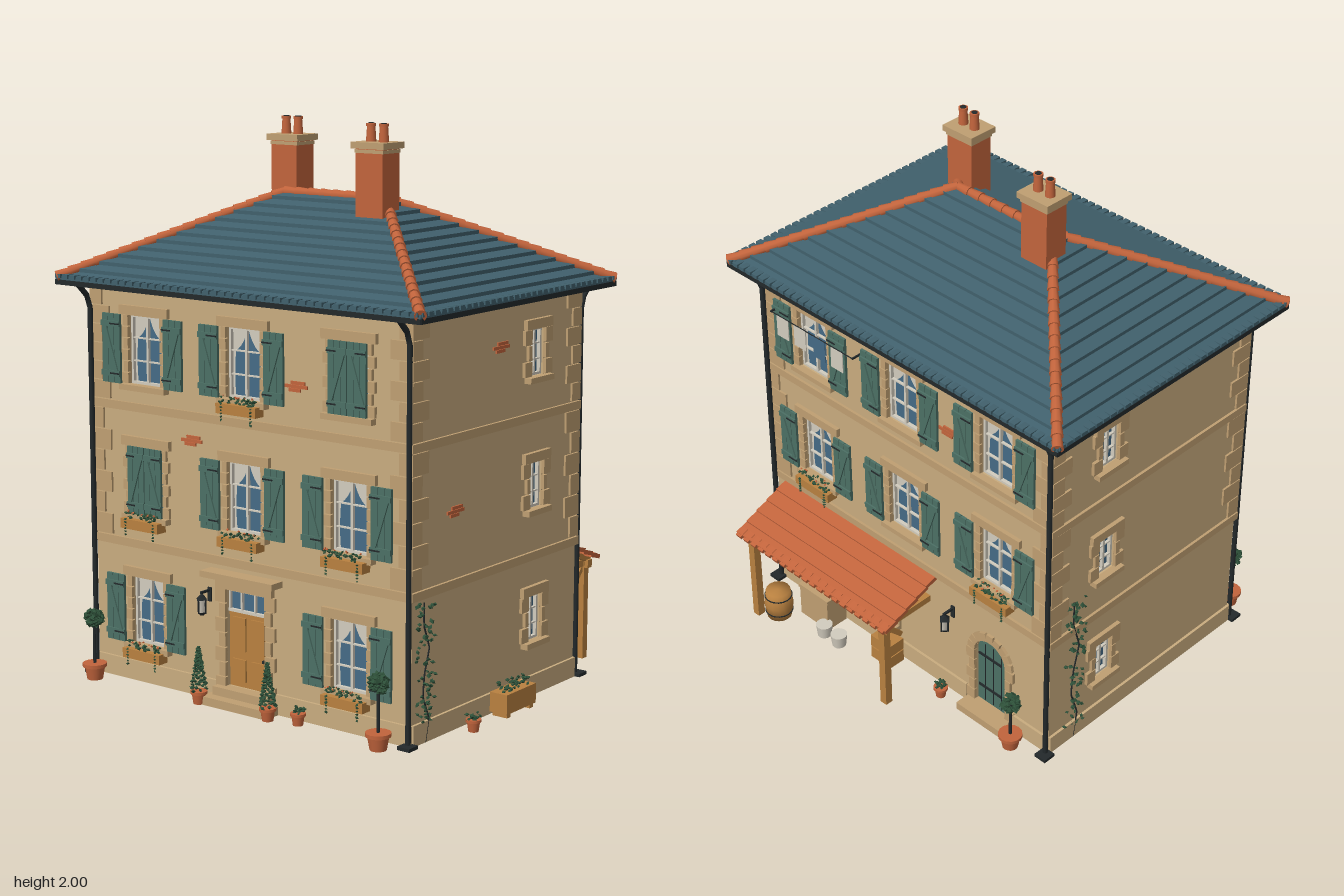
import * as THREE from 'three';
import { mergeGeometries } from 'three/addons/utils/BufferGeometryUtils.js';

const mat = (name, color, extra = {}) => Object.assign(new THREE.MeshStandardMaterial({ color, ...extra }), { name });
const M = {
  wall: mat('plaster', 0xc9ac7f), stone: mat('stone', 0xbf9f72), slate: mat('slate', 0x41616d),
  clay: mat('terracotta', 0xc2643c), green: mat('shutterGreen', 0x4c7065), wood: mat('wood', 0xb98140),
  iron: mat('iron', 0x23292b), glass: mat('glass', 0x456b86), cream: mat('cream', 0xd2ccbe), leaf: mat('foliage', 0x2d4f38),
};
M.cream.side = M.slate.side = THREE.DoubleSide;
let seed = 7;
const rnd = (a = 0, b = 1) => { seed = (seed * 16807) % 2147483647; return a + (b - a) * seed / 2147483647; };
const V = (x, y, z) => new THREE.Vector3(x, y, z);

function add(parent, name, geo, m, x = 0, y = 0, z = 0) {
  const o = new THREE.Mesh(geo, m);
  o.name = name; o.position.set(x, y, z); parent.add(o);
  return o;
}
const box = (p, name, m, w, h, d, x, y, z) => add(p, name, new THREE.BoxGeometry(w, h, d), m, x, y, z);
const cyl = (p, name, m, r1, r0, h, x, y, z, n = 14) => add(p, name, new THREE.CylinderGeometry(r1, r0, h, n), m, x, y + h / 2, z);
const tube = (p, name, m, pts, r) => add(p, name, new THREE.TubeGeometry(new THREE.CatmullRomCurve3(pts, false, 'catmullrom', 0.1), 24, r, 6), m);
function group(parent, name, x = 0, y = 0, z = 0, ry = 0) {
  const g = new THREE.Group();
  g.name = name; g.position.set(x, y, z); g.rotation.y = ry; parent.add(g);
  return g;
}
// Many small leaves merged in one mesh
function leaves(p, name, pts, s, m = M.leaf) {
  add(p, name, mergeGeometries(pts.map(v => new THREE.OctahedronGeometry(s * rnd(0.7, 1.2)).scale(1, 0.6, 0.8)
    .rotateZ(rnd(-1, 1)).rotateY(rnd(0, 6)).translate(v.x, v.y, v.z))), m);
}
const many = (n, f) => Array.from({ length: n }, (_, i) => f(i));
function rectPath(u0, u1, y0, y1, arch = false) {
  const s = new THREE.Shape();
  s.moveTo(u0, y0); s.lineTo(u1, y0); s.lineTo(u1, y1);
  if (arch) s.absarc((u0 + u1) / 2, y1, (u1 - u0) / 2, 0, Math.PI, false); else s.lineTo(u0, y1);
  s.closePath();
  return s;
}
const extrude = (s, depth) => new THREE.ExtrudeGeometry(s, { depth, bevelEnabled: false, curveSegments: 10 });

// Jamb blocks of alternating width beside an opening
function jambs(p, w, y0, h, n, a, b) {
  for (const s of [-1, 1]) for (let i = 0; i < n; i++) {
    const bw = i % 2 ? a : b;
    box(p, 'jambBlock', M.stone, bw, h / n - 0.004, 0.014, s * (w / 2 + bw / 2), y0 + h * (i + 0.5) / n, 0.005);
  }
}
function shutter(p, x, y, w, h, z, dir) {
  const g = group(p, 'shutter', x, y, z);
  for (let i = -1; i <= 1; i++) box(g, 'shutterPlank', M.green, w / 3 - 0.002, h, 0.01, i * w / 3, 0, 0);
  for (const s of [-1, 1]) {
    box(g, 'shutterRail', M.green, w, 0.02, 0.008, 0, s * h * 0.36, 0.007);
    box(g, 'hingeStrap', M.iron, w * 0.5, 0.005, 0.004, dir * w * 0.25, s * h * 0.36, 0.012);
  }
  box(g, 'shutterBrace', M.green, 0.015, h * 0.74, 0.008, 0, 0, 0.007).rotation.z = dir * 0.32;
}
function flowerBox(p, y) {
  const g = group(p, 'flowerBox', 0, y, 0.03);
  box(g, 'trough', M.wood, 0.175, 0.035, 0.045, 0, -0.018, 0);
  leaves(g, 'boxPlants', many(36, () => V(rnd(-0.08, 0.08), rnd(0, 0.022), rnd(-0.015, 0.02))), 0.009);
  leaves(g, 'trailingPlants', many(12, i => V(i % 2 ? 0.07 : -0.06, -i * 0.0055, 0.026)), 0.007);
  leaves(g, 'flowers', many(7, () => V(rnd(-0.08, 0.08), 0.024, rnd(-0.01, 0.02))), 0.006, M.clay);
}
function windowUnit(p, u, y0, { w = 0.15, h = 0.245, shutters = 'open', planter = false } = {}) {
  const g = group(p, 'window', u, y0, 0), m = h / 2;
  box(g, 'glass', M.glass, w, h, 0.006, 0, m, -0.024);
  if (w > 0.1) for (const s of [-1, 1]) { // drapes with a curved inner edge
    const c = new THREE.Shape();
    c.moveTo(s * w / 2, 0); c.lineTo(s * w / 2, h); c.lineTo(0, h);
    c.quadraticCurveTo(s * w * 0.12, h * 0.74, s * w * 0.36, h * 0.66);
    c.quadraticCurveTo(s * w * 0.42, h * 0.3, s * w * 0.36, 0);
    add(g, 'curtain', new THREE.ShapeGeometry(c, 6), M.cream, 0, 0, -0.0195);
  }
  for (const s of [-1, 1]) {
    box(g, 'frameSide', M.cream, 0.009, h, 0.014, s * (w / 2 - 0.0045), m, -0.014);
    box(g, 'frameRail', M.cream, w, 0.009, 0.014, 0, m + s * (m - 0.0045), -0.014);
  }
  box(g, 'mullion', M.cream, 0.009, h, 0.012, 0, m, -0.013);
  for (const t of [1 / 3, 2 / 3]) box(g, 'glazingBar', M.cream, w, 0.005, 0.01, 0, h * t, -0.014);
  const small = w < 0.1;
  jambs(g, w, 0, h, small ? 3 : 6, 0.02, small ? 0.042 : 0.032);
  box(g, 'lintel', M.stone, w + 0.075, 0.034, 0.018, 0, h + 0.017, 0.007);
  box(g, 'sill', M.stone, w + 0.06, 0.02, 0.032, 0, -0.01, 0.012);
  if (shutters === 'open') for (const s of [-1, 1]) shutter(g, s * 0.143, m, 0.085, h, 0.02, -s);
  if (shutters === 'closed') for (const s of [-1, 1]) shutter(g, s * 0.04, m, 0.078, h, 0.016, s);
  if (planter) flowerBox(g, -0.012);
}
function wall(parent, name, u0, u1, holes, x, z, ry) {
  const g = group(parent, name, x, 0, z, ry), s = rectPath(u0, u1, 0, 1.42);
  for (const h of holes) s.holes.push(rectPath(...h));
  add(g, 'wallPanel', extrude(s, 0.03), M.wall, 0, 0, -0.03);
  for (const y of [0.505, 0.998]) box(g, 'stringCourse', M.stone, u1 - u0 + 0.02, 0.03, 0.02, (u0 + u1) / 2, y, 0);
  return g;
}
function bricks(p, u, y) {
  [[-0.006, 0.05], [0, 0.095], [0.008, 0.06]].forEach(([du, w], i) =>
    box(p, 'exposedBrick', M.clay, w, 0.011, 0.008, u + du, y + (i - 1) * 0.0125, 0.002));
}
function lantern(p, u, y) {
  const g = group(p, 'lantern', u, y, 0);
  box(g, 'bracket', M.iron, 0.008, 0.008, 0.05, 0, 0.04, 0.025);
  box(g, 'backPlate', M.iron, 0.016, 0.05, 0.006, 0, 0.025, 0.003);
  cyl(g, 'lampHood', M.iron, 0.006, 0.024, 0.018, 0, 0.015, 0.045, 4);
  cyl(g, 'lampGlass', M.cream, 0.018, 0.013, 0.045, 0, -0.03, 0.045, 4);
  cyl(g, 'lampBase', M.iron, 0.016, 0.01, 0.01, 0, -0.04, 0.045, 4);
  for (const a of [0, 1, 2, 3]) box(g, 'lampBar', M.iron, 0.004, 0.05, 0.004, Math.sin(a * Math.PI / 2) * 0.017, -0.008, 0.045 + Math.cos(a * Math.PI / 2) * 0.017);
}
function pot(p, x, z, r, h) {
  const g = group(p, 'pottedPlant', x, 0, z);
  cyl(g, 'pot', M.clay, r * 0.88, r * 0.65, h, 0, 0, 0);
  cyl(g, 'potRim', M.clay, r, r, h * 0.22, 0, h * 0.8, 0);
  return g;
}
function topiary(p, x, z, h) {
  const g = pot(p, x, z, 0.044, 0.058);
  cyl(g, 'trunk', M.iron, 0.005, 0.006, h - 0.1, 0, 0.05, 0, 6);
  leaves(g, 'crown', many(90, () => V(rnd(-1, 1), rnd(-1, 1), rnd(-1, 1)).setLength(0.032 * Math.cbrt(rnd(0.3, 1))).add(V(0, h - 0.045, 0))), 0.014);
}
function coneShrub(p, x, z) {
  const g = pot(p, x, z, 0.03, 0.045);
  leaves(g, 'cone', many(90, i => V(Math.sin(i * 2.4) * 0.028 * (1 - i / 92), 0.05 + i * 0.0017, Math.cos(i * 2.4) * 0.028 * (1 - i / 92))), 0.01);
}
function smallPot(p, x, z) {
  leaves(pot(p, x, z, 0.027, 0.042), 'sprigs', many(16, () => V(rnd(-0.018, 0.018), rnd(0.042, 0.065), rnd(-0.018, 0.018))), 0.01);
}
function vine(p, u, h) {
  const pts = many(7, i => V(u + Math.sin(i * 2) * 0.02, h * i / 6, 0.008));
  tube(p, 'vineStem', M.iron, pts, 0.003);
  leaves(p, 'vineLeaves', many(70, () => V(u + rnd(-0.05, 0.05), rnd(0.06, h), rnd(0.005, 0.016))), 0.011);
}

// Stepped hip roof built from rectangular rings, with clay hip tiles
function roof(root) {
  const g = group(root, 'roof', 0, 0, 0.065), N = 12, loops = [], pos = [];
  const ring = (t, dy) => { const a = 0.795 - 0.575 * t, b = 0.585 * (1 - t), y = 1.437 + 0.3 * t + dy; return [V(-a, y, b), V(a, y, b), V(a, y, -b), V(-a, y, -b)]; };
  for (let i = 0; i < N; i++) loops.push(ring(i / N, 0), ring(i / N, 0.013), ring((i + 1) / N, 0));
  for (let k = 0; k + 1 < loops.length; k++) for (let i = 0; i < 4; i++) {
    const j = (i + 1) % 4, [a, b, c, d] = [loops[k][i], loops[k][j], loops[k + 1][j], loops[k + 1][i]];
    for (const v of [a, b, c, a, c, d]) pos.push(v.x, v.y, v.z);
  }
  const geo = new THREE.BufferGeometry().setAttribute('position', new THREE.Float32BufferAttribute(pos, 3));
  geo.computeVertexNormals();
  add(g, 'slateCourses', geo, M.slate);
  box(g, 'soffit', M.wood, 1.56, 0.014, 1.14, 0, 1.427, 0);
  for (const s of [-1, 1]) {
    box(g, 'gutter', M.iron, 1.59, 0.018, 0.022, 0, 1.428, s * 0.575);
    box(g, 'gutter', M.iron, 0.022, 0.018, 1.16, s * 0.785, 1.428, 0);
    for (let i = 0; i < 46; i++) box(g, 'eaveSlate', M.slate, 0.023, 0.014, 0.045, (i - 22.5) * 0.0345, 1.45, s * 0.57);
    for (let i = 0; i < 34; i++) box(g, 'eaveSlate', M.slate, 0.045, 0.014, 0.023, s * 0.778, 1.45, (i - 16.5) * 0.0345);
  }
  const tiles = (a, b, n) => {
    const d = b.clone().sub(a), L = d.length() / n;
    for (let i = 0; i < n; i++) add(g, 'hipTile', new THREE.CylinderGeometry(0.016, 0.021, L * 1.08, 10), M.clay)
      .position.copy(a).addScaledVector(d, (i + 0.5) / n), g.children.at(-1).quaternion.setFromUnitVectors(V(0, 1, 0), d.clone().normalize());
  };
  for (const x of [-1, 1]) for (const z of [-1, 1]) tiles(V(x * 0.79, 1.447, z * 0.58), V(x * 0.22, 1.737, 0), 18);
  tiles(V(-0.22, 1.735, 0), V(0.22, 1.735, 0), 8);
  // Chimneys
  for (const [x, z] of [[-0.247, -0.07], [0.242, 0.075]]) {
    const c = group(g, 'chimney', x, 0, z);
    box(c, 'chimneyStack', M.clay, 0.115, 0.27, 0.095, 0, 1.78, 0);
    box(c, 'chimneyCollar', M.stone, 0.122, 0.012, 0.1, 0, 1.905, 0);
    box(c, 'chimneyCap', M.stone, 0.14, 0.022, 0.118, 0, 1.925, 0);
    for (const s of [-1, 1]) {
      cyl(c, 'chimneyPot', M.clay, 0.014, 0.018, 0.06, s * 0.027, 1.933, 0);
      cyl(c, 'potLip', M.clay, 0.017, 0.017, 0.01, s * 0.027, 1.988, 0);
      cyl(c, 'flue', M.iron, 0.011, 0.011, 0.002, s * 0.027, 1.998, 0);
    }
  }
}
// Tiled lean-to with posts, washing and storage at the back
function leanTo(root) {
  const g = group(root, 'leanTo'), r = group(g, 'leanToRoof', 0.25, 0.49, -0.43), L = 0.275;
  r.rotation.x = -0.4;
  for (let j = 0; j < 5; j++) box(r, 'tileCourse', M.clay, 0.8, 0.016, L / 5 + 0.006, 0, 0, -(j + 0.5) * L / 5).rotation.x = 0.12;
  for (let i = 0; i < 20; i++) box(r, 'edgeTile', M.clay, 0.026, 0.014, 0.04, (i - 9.5) * 0.04, 0.004, -L + 0.008);
  for (let i = 0; i < 6; i++) box(r, 'rafter', M.wood, 0.018, 0.02, L - 0.02, (i - 2.5) * 0.145, -0.018, -L / 2);
  box(g, 'frontBeam', M.wood, 0.76, 0.03, 0.028, 0.25, 0.362, -0.65);
  for (const x of [-0.1, 0.6]) {
    box(g, 'post', M.wood, 0.03, 0.37, 0.03, x, 0.185, -0.65);
    box(g, 'sideBeam', M.wood, 0.026, 0.026, 0.22, x, 0.365, -0.54);
    box(g, 'brace', M.wood, 0.018, 0.018, 0.11, x, 0.32, -0.61).rotation.x = 0.8;
  }
  tube(g, 'washingLine', M.iron, [V(-0.1, 0.35, -0.56), V(0.25, 0.34, -0.56), V(0.6, 0.35, -0.56)], 0.002);
  [0.02, 0.12, 0.3, 0.42, 0.51].forEach((x, i) => box(g, 'cloth', i % 2 ? M.glass : M.cream, 0.065, 0.075, 0.004, x, 0.305, -0.56));
  const barrel = [[0, 0], [0.047, 0], [0.056, 0.06], [0.047, 0.12], [0, 0.12]].map(p => new THREE.Vector2(...p));
  add(g, 'barrel', new THREE.LatheGeometry(barrel, 16), M.wood, 0.54, 0, -0.6);
  for (const y of [0.025, 0.095]) add(g, 'barrelHoop', new THREE.TorusGeometry(0.051, 0.003, 5, 18).rotateX(Math.PI / 2), M.iron, 0.54, y, -0.6);
  box(g, 'washTub', M.stone, 0.15, 0.13, 0.095, 0.41, 0.065, -0.49);
  box(g, 'tubRim', M.stone, 0.16, 0.015, 0.1, 0.41, 0.135, -0.49);
  for (const x of [0.25, 0.33]) cyl(g, 'basket', M.cream, 0.032, 0.026, 0.05, x, 0, -0.56);
  for (const [x, y] of [[0.06, 0.03], [0.06, 0.085]]) box(g, 'crate', M.wood, 0.1, 0.05, 0.07, x, y, -0.49);
}

export function createModel() {
  const root = new THREE.Group();
  root.name = 'townHouse';
  const rows = [0.14, 0.615, 1.08], cols = [-0.45, 0, 0.45];
  const hole = (u, y, w = 0.15, h = 0.245) => [u - w / 2, u + w / 2, y, y + h];

  // Front wall
  const upper = cols.flatMap(u => rows.slice(1).map(y => hole(u, y)));
  const front = wall(root, 'frontWall', -0.7, 0.7, [...upper, hole(-0.45, 0.14), hole(0.45, 0.14), [-0.088, 0.088, 0.06, 0.41]], 0, 0.56, 0);
  cols.forEach((u, c) => rows.forEach((y, r) => {
    if (r === 0 && c === 1) return;
    const closed = (r === 2 && c === 2) || (r === 1 && c === 0);
    windowUnit(front, u, y, { shutters: closed ? 'closed' : 'open', planter: r < 2 || c === 1 });
  }));
  // Front door
  const door = group(front, 'frontDoor');
  box(door, 'doorLeaf', M.wood, 0.176, 0.27, 0.014, 0, 0.195, -0.02);
  for (const s of [-1, 1]) for (const [y, h] of [[0.12, 0.08], [0.25, 0.12]]) box(door, 'doorPanel', M.wood, 0.058, h, 0.008, s * 0.042, y, -0.011);
  box(door, 'doorKnob', M.iron, 0.01, 0.01, 0.012, 0.07, 0.17, -0.008);
  box(door, 'transomGlass', M.glass, 0.176, 0.075, 0.006, 0, 0.37, -0.022);
  for (const y of [0.332, 0.405]) box(door, 'transomRail', M.cream, 0.176, 0.01, 0.014, 0, y, -0.014);
  for (const x of [-0.083, -0.03, 0.03, 0.083]) box(door, 'transomBar', M.cream, 0.007, 0.075, 0.012, x, 0.37, -0.014);
  jambs(door, 0.176, 0.04, 0.37, 7, 0.028, 0.045);
  box(door, 'doorLintel', M.stone, 0.25, 0.036, 0.024, 0, 0.428, 0.008);
  box(door, 'doorHood', M.stone, 0.32, 0.022, 0.06, 0, 0.462, 0.03);
  box(door, 'step', M.stone, 0.25, 0.03, 0.06, 0, 0.045, 0.01);
  box(door, 'step', M.stone, 0.29, 0.03, 0.1, 0, 0.015, 0.03);
  for (const s of [-1, 1]) box(front, 'plinth', M.wall, 0.57, 0.072, 0.016, s * 0.42, 0.036, 0.002);
  lantern(front, -0.165, 0.35);
  bricks(front, 0.225, 1.15);
  bricks(front, -0.24, 0.91);

  // Back wall with arched door
  const back = wall(root, 'backWall', -0.7, 0.7, [...upper, hole(-0.15, 0.14), [0.345, 0.495, 0.03, 0.27, true]], 0, -0.43, Math.PI);
  cols.forEach((u, c) => rows.slice(1).forEach((y, r) => windowUnit(back, u, y, { planter: r === 0 && c !== 1 })));
  windowUnit(back, -0.15, 0.14, { shutters: 'none' });
  const arch = group(back, 'archedDoor', 0.42, 0, 0);
  add(arch, 'archLeaf', extrude(rectPath(-0.075, 0.075, 0.03, 0.27, true), 0.015), M.green, 0, 0, -0.025);
  for (const x of [-0.04, 0, 0.04]) box(arch, 'plankJoint', M.iron, 0.003, 0.27, 0.002, x, 0.17, -0.01);
  for (const y of [0.1, 0.25]) box(arch, 'doorStrap', M.iron, 0.11, 0.01, 0.004, -0.015, y, -0.008);
  jambs(arch, 0.15, 0.03, 0.24, 5, 0.026, 0.04);
  for (let i = 0; i < 9; i++) {
    const a = Math.PI * (i + 0.5) / 9;
    box(arch, 'voussoir', M.stone, 0.034, 0.03, 0.014, Math.cos(a) * 0.092, 0.27 + Math.sin(a) * 0.092, 0.005).rotation.z = a;
  }
  box(arch, 'backStep', M.stone, 0.22, 0.03, 0.08, 0, 0.015, 0.03);
  box(back, 'plinth', M.wall, 1.0, 0.072, 0.016, -0.2, 0.036, 0.002);
  box(back, 'plinth', M.wall, 0.17, 0.072, 0.016, 0.615, 0.036, 0.002);
  lantern(back, 0.23, 0.35);
  bricks(back, 0.22, 1.17);
  for (const u of [-0.62, -0.2]) box(back, 'lineBracket', M.iron, 0.006, 0.006, 0.05, u, 1.29, 0.025);
  box(back, 'upperLine', M.iron, 0.42, 0.003, 0.003, -0.41, 1.29, 0.048);
  [-0.56, -0.47, -0.37, -0.28].forEach((u, i) => box(back, 'cloth', i === 2 ? M.glass : M.cream, 0.06, 0.085, 0.003, u, 1.247, 0.048));

  // Side walls
  for (const s of [-1, 1]) {
    const sideHoles = rows.map(y => hole(s * 0.16, y + 0.06, 0.085, 0.165));
    const side = wall(root, s > 0 ? 'leftWall' : 'rightWall', s > 0 ? -0.56 : -0.43, s > 0 ? 0.43 : 0.56, sideHoles, s * 0.7, 0, s * Math.PI / 2);
    for (const y of rows) windowUnit(side, s * 0.16, y + 0.06, { w: 0.085, h: 0.165, shutters: 'none' });
    box(side, 'plinth', M.wall, 0.99, 0.072, 0.016, -s * 0.065, 0.036, 0.002);
    if (s > 0) { bricks(side, -0.06, 1.265); bricks(side, -0.32, 0.75); vine(side, -0.49, 0.48); } else vine(side, -0.31, 0.64);
  }
  // Corner quoins, downpipes and their feet
  for (const x of [-1, 1]) for (const f of [-1, 1]) {
    const z = f > 0 ? 0.56 : -0.43;
    for (const y0 of [0.522, 1.015]) for (let i = 0; i < 6; i++) {
      const h = (y0 < 1 ? 0.46 : 0.4) / 6, lx = i % 2 ? 0.055 : 0.09, lz = i % 2 ? 0.09 : 0.055;
      box(root, 'quoin', M.stone, lx, h - 0.004, lz, x * (0.708 - lx / 2), y0 + h * (i + 0.5), z + f * (0.008 - lz / 2));
    }
    tube(root, 'downpipe', M.iron, [V(x * 0.7, 0.01, z + f * 0.016), V(x * 0.7, 1.35, z + f * 0.016), V(x * 0.7, 1.375, z + f * 0.025), V(x * 0.7, 1.425, z + f * 0.075)], 0.01);
    box(root, 'drainFoot', M.iron, 0.05, 0.012, 0.05, x * 0.705, 0.006, z + f * 0.025);
  }
  roof(root);
  leanTo(root);

  // Plants around the house
  topiary(root, -0.645, 0.645, 0.27);
  topiary(root, 0.63, 0.645, 0.27);
  topiary(root, -0.58, -0.5, 0.25);
  for (const x of [-0.157, 0.153]) coneShrub(root, x, 0.635);
  for (const [x, z] of [[0.265, 0.61], [0.77, 0.3], [-0.22, -0.49]]) smallPot(root, x, z);
  const trough = group(root, 'sidePlanter', 0.755, 0, 0.04);
  box(trough, 'planterBox', M.wood, 0.07, 0.07, 0.18, 0, 0.05, 0);
  for (const z of [-0.07, 0.07]) box(trough, 'planterFoot', M.wood, 0.06, 0.016, 0.02, 0, 0.008, z);
  leaves(trough, 'planterPlants', many(40, () => V(rnd(-0.025, 0.025), rnd(0.085, 0.115), rnd(-0.08, 0.08))), 0.01);
  return root;
}
